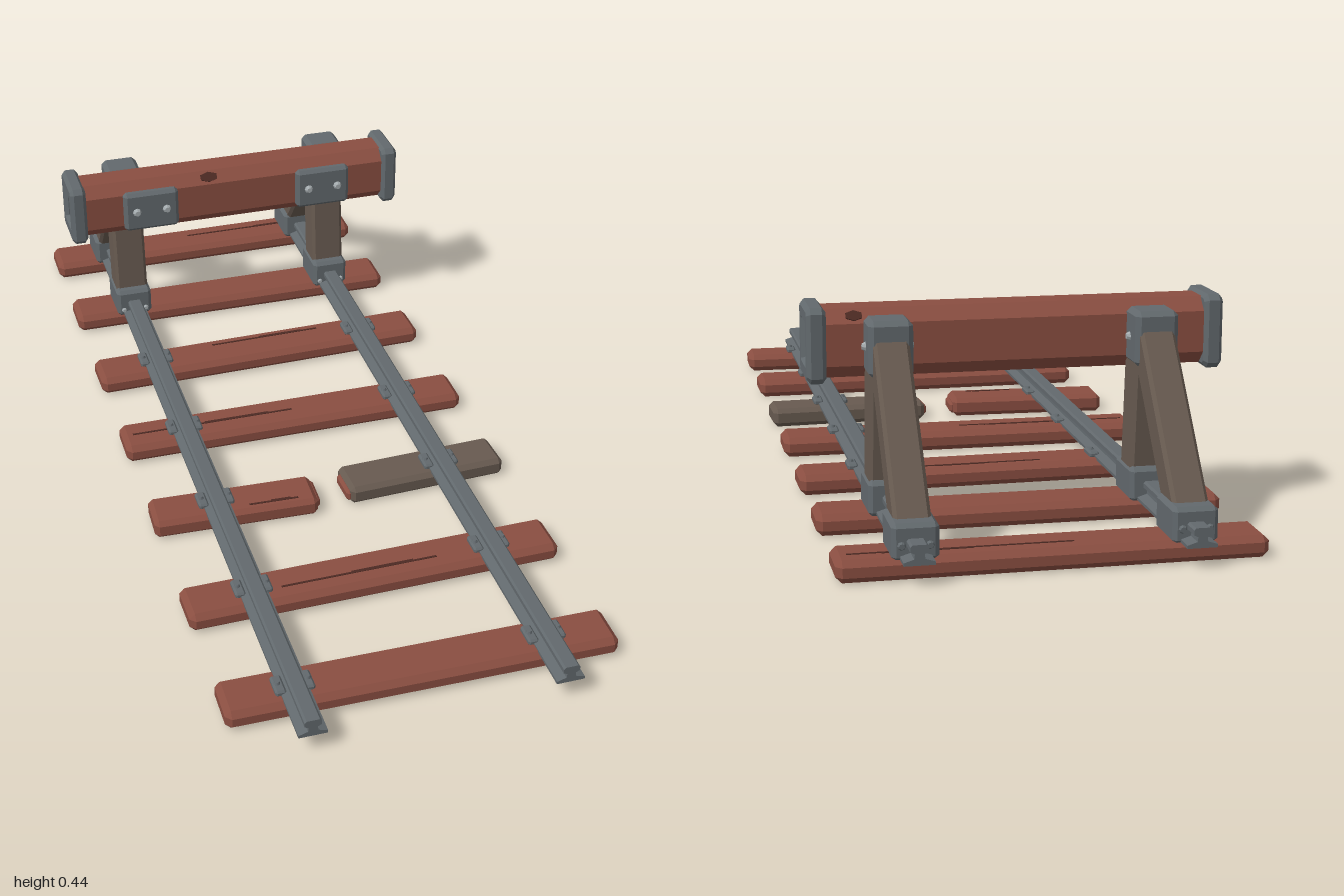
import * as THREE from 'three';
import { ConvexGeometry } from 'three/addons/geometries/ConvexGeometry.js';

const mat = (name, color) => {
  const m = new THREE.MeshStandardMaterial({ color, flatShading: true });
  m.name = name;
  return m;
};

// Box with every edge cut at 45 degrees
function chamferBox(w, h, d, k) {
  const pts = [];
  for (const x of [-1, 1]) for (const y of [-1, 1]) for (const z of [-1, 1]) {
    const a = w / 2, b = h / 2, c = d / 2;
    pts.push(
      new THREE.Vector3(x * a, y * (b - k), z * (c - k)),
      new THREE.Vector3(x * (a - k), y * b, z * (c - k)),
      new THREE.Vector3(x * (a - k), y * (b - k), z * c));
  }
  return new ConvexGeometry(pts);
}

// Rectangle with clipped corners
function clippedRect(w, h, k, Type = THREE.Shape) {
  const a = w / 2, b = h / 2;
  return new Type([[a, -b + k], [a, b - k], [a - k, b], [-a + k, b], [-a, b - k], [-a, -b + k], [-a + k, -b], [a - k, -b]]
    .map(p => new THREE.Vector2(...p)));
}

export function createModel() {
  const red = mat('red wood', 0x8a4e41);
  const brown = mat('weathered wood', 0x675a50);
  const dark = mat('wood crack', 0x4c2a23);
  const iron = mat('iron', 0x62696d);
  const steel = mat('bolt steel', 0xa4abae);
  const root = new THREE.Group();
  root.name = 'railStop';

  const add = (parent, name, geo, material, x = 0, y = 0, z = 0) => {
    const m = new THREE.Mesh(geo, material);
    m.name = name;
    m.position.set(x, y, z);
    parent.add(m);
    return m;
  };
  const bolt = (name, material, r, x, y, z, dir) => {
    const m = add(root, name, new THREE.CylinderGeometry(r * 0.6, r, r * 0.8, 8), material, x, y, z);
    m.quaternion.setFromUnitVectors(new THREE.Vector3(0, 1, 0), new THREE.Vector3(...dir));
  };

  // Sleepers: z, yaw, crack start, crack end, crack offset in z
  const sleepers = [
    [0.86, -0.012, 0, 0, 0],
    [0.56, 0.012, -0.2, 0.14, 0.012],
    [-0.04, -0.006, -0.38, 0, 0],
    [-0.34, 0.015, -0.11, 0.16, -0.025],
    [-0.63, -0.006, 0, 0, 0],
    [-0.91, 0, -0.04, 0.38, -0.012]
  ];
  const crack = (parent, x0, x1, z) => {
    add(parent, 'crack', new THREE.BoxGeometry(x1 - x0, 0.002, 0.005), dark, (x0 + x1) / 2, 0.0215, z);
    add(parent, 'crackBranch', new THREE.BoxGeometry((x1 - x0) * 0.4, 0.002, 0.005), dark,
      x0 + (x1 - x0) * 0.65, 0.0215, z - 0.003);
  };
  for (const [z, yaw, c0, c1, cz] of sleepers) {
    const g = new THREE.Group();
    g.name = 'sleeper';
    g.position.set(0, 0.0215, z);
    g.rotation.y = yaw;
    root.add(g);
    add(g, 'sleeperBeam', chamferBox(0.808, 0.043, 0.108, 0.012), red);
    if (c1 > c0) crack(g, c0, c1, cz);
  }

  // Broken sleeper in two halves
  for (const s of [-1, 1]) {
    const g = new THREE.Group();
    g.name = s < 0 ? 'brokenSleeperRight' : 'brokenSleeperLeft';
    g.position.set(s * 0.22, 0.0215, s < 0 ? 0.257 : 0.245);
    g.rotation.y = s * 0.04;
    root.add(g);
    add(g, 'sleeperHalf', chamferBox(0.365, 0.043, 0.1, 0.01), s < 0 ? red : brown);
    add(g, 'splinteredEnd', chamferBox(0.02, 0.026, 0.075, 0.006), red, -s * 0.18, -0.002, s * 0.004);
    if (s < 0) crack(g, 0.03, 0.14, 0.03);
  }

  // Rails with foot, web and head
  const half = [[0.029, 0.04], [0.029, 0.046], [0.01, 0.052], [0.009, 0.061], [0.017, 0.065], [0.017, 0.074], [0.013, 0.078]];
  const profile = new THREE.Shape([...half, ...half.slice().reverse().map(([x, y]) => [-x, y])]
    .map(p => new THREE.Vector2(...p)));
  const railGeo = new THREE.ExtrudeGeometry(profile, { depth: 2, bevelEnabled: false });
  const clipGeo = chamferBox(0.022, 0.014, 0.05, 0.004);
  const bootGeo = chamferBox(0.087, 0.07, 0.112, 0.008);
  const capGeo = chamferBox(0.086, 0.11, 0.08, 0.01);

  // Timber running between two points in the side plane
  const timber = (name, x, y0, z0, y1, z1, w, d) => {
    const m = add(root, name, chamferBox(w, Math.hypot(y1 - y0, z1 - z0), d, 0.007), brown,
      x, (y0 + y1) / 2, (z0 + z1) / 2);
    m.rotation.x = Math.atan2(z1 - z0, y1 - y0);
  };

  for (const s of [-1, 1]) {
    const x = s * 0.26, side = s > 0 ? 'Left' : 'Right';
    add(root, 'rail' + side, railGeo, iron, x, 0, -1);

    // Rail clips on each sleeper
    for (const z of [0.86, 0.56, 0.25, -0.04, -0.34]) for (const e of [-1, 1]) {
      add(root, 'railClip', clipGeo, iron, x + e * 0.029, 0.047, z);
      bolt('railSpike', iron, 0.007, x + e * 0.031, 0.056, z, [0, 1, 0]);
    }

    // Upright, diagonal brace, boots and top bracket
    timber('upright' + side, x, 0.06, -0.628, 0.38, -0.655, 0.079, 0.074);
    timber('brace' + side, x, 0.06, -0.922, 0.38, -0.66, 0.07, 0.066);
    add(root, 'frontBoot' + side, bootGeo, iron, x, 0.07, -0.628);
    add(root, 'rearBoot' + side, bootGeo, iron, x, 0.07, -0.905);
    add(root, 'topBracket' + side, capGeo, iron, x, 0.365, -0.662);
    for (const e of [-1, 1]) {
      bolt('bracketBolt', steel, 0.01, x + e * 0.046, 0.365, -0.655, [e, 0, 0]);
      bolt('bootBolt', steel, 0.007, x + e * 0.028, 0.053, -0.57, [0, 0, 1]);
      bolt('rearBootBolt', iron, 0.009, x + e * 0.026, 0.065, -0.963, [0, 0, -1]);
    }

    // Face plate with two bolts
    const px = s * 0.2175;
    add(root, 'facePlate' + side, chamferBox(0.135, 0.1, 0.026, 0.008), iron, px, 0.363, -0.518);
    for (const e of [-1, 1]) bolt('plateBolt', steel, 0.011, px + e * 0.037, 0.364, -0.501, [0, 0, 1]);
  }

  // Cross beam with eight-sided section
  const beamY = 0.364, beamZ = -0.578;
  const beam = add(root, 'crossBeam', new THREE.ExtrudeGeometry(clippedRect(0.112, 0.134, 0.026),
    { depth: 0.79, bevelEnabled: false }), red, -0.395, beamY, beamZ);
  beam.rotation.y = Math.PI / 2;

  // Iron end bands, open in the middle to show the beam end
  const band = clippedRect(0.112, 0.13, 0.006);
  band.holes.push(clippedRect(0.078, 0.09, 0.004, THREE.Path));
  const bandGeo = new THREE.ExtrudeGeometry(band, { depth: 0.022, bevelSize: 0.009, bevelThickness: 0.008, bevelSegments: 1 });
  bandGeo.translate(0, 0, -0.011);
  for (const s of [-1, 1]) {
    const m = add(root, 'endBand' + (s > 0 ? 'Left' : 'Right'), bandGeo, iron, s * 0.394, beamY, beamZ);
    m.rotation.y = Math.PI / 2;
  }

  // Knots on the beam's sloping edges
  const knot = add(root, 'beamKnot', new THREE.CylinderGeometry(0.013, 0.013, 0.003, 6), dark, -0.067, 0.419, -0.535);
  knot.scale.x = 1.8;
  knot.rotation.x = Math.PI / 4;
  const rearKnot = add(root, 'beamRearKnot', new THREE.CylinderGeometry(0.012, 0.012, 0.003, 6), dark, 0.32, 0.4185, -0.6215);
  rearKnot.scale.x = 1.5;
  rearKnot.rotation.x = -Math.PI / 4;

  return root;
}
